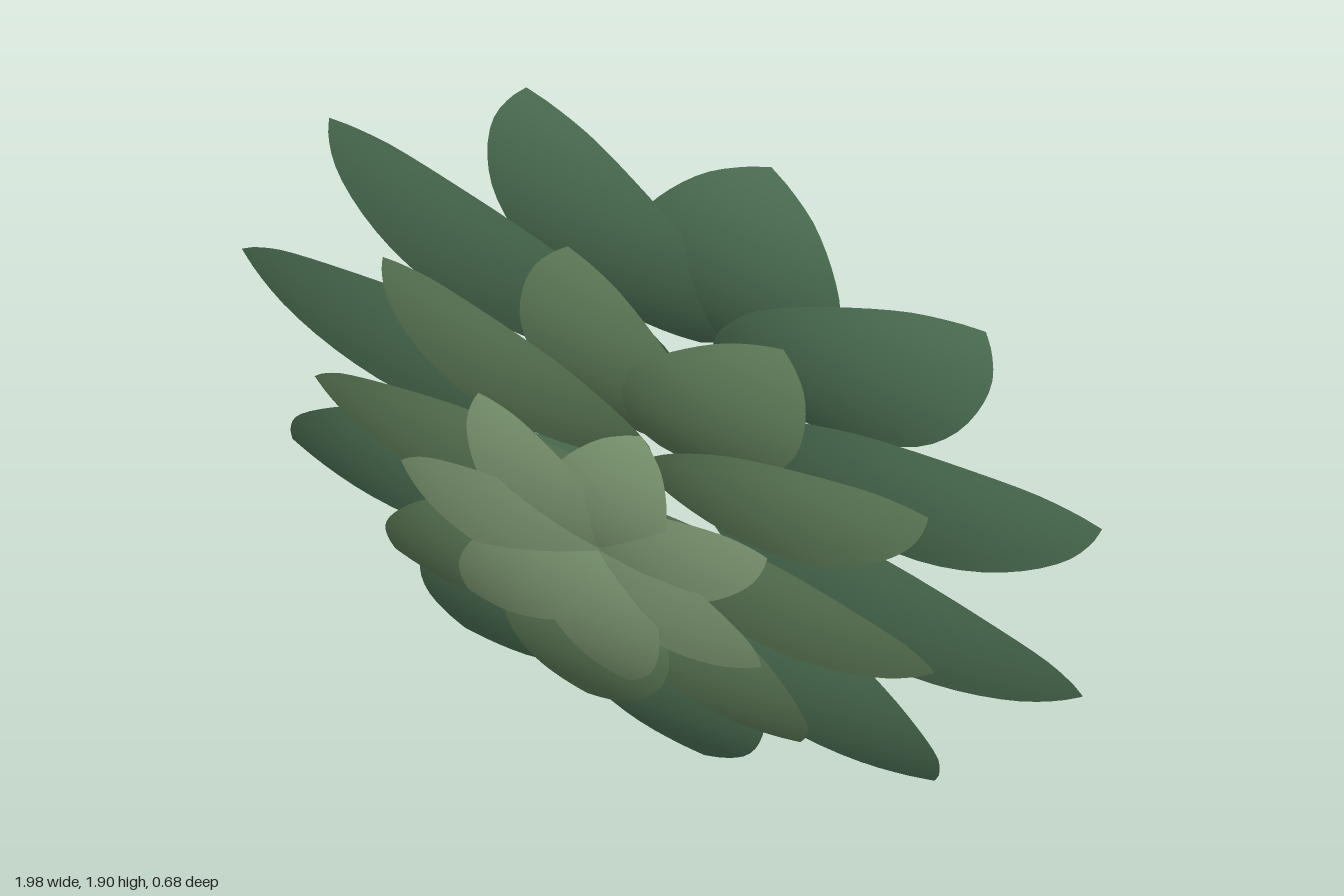
import * as THREE from 'three';

// Half outline of a petal of half-length 1: [half width, position along the petal], base to tip
const HALF = [[0, -1], [0.14, -0.93], [0.29, -0.75], [0.43, -0.48], [0.52, -0.12], [0.5, 0.2],
  [0.41, 0.5], [0.28, 0.75], [0.13, 0.91], [0, 1]];

// A thin petal arched along its length: both ends curl back from the middle
function petalGeometry(halfLength) {
  const curve = new THREE.SplineCurve(HALF.map(([x, y]) => new THREE.Vector2(x, y)));
  const side = curve.getPoints(24);
  const across = 6, pos = [], index = [];
  for (const p of side) {
    for (let j = 0; j <= across; j++) {
      const x = Math.max(p.x, 0) * (1 - (2 * j) / across);
      pos.push(x, p.y, 0.15 * (1 - p.y * p.y) - 0.1 * x * x);
    }
  }
  for (let i = 0; i < side.length - 1; i++) {
    for (let j = 0; j < across; j++) {
      const a = i * (across + 1) + j, b = a + across + 1;
      index.push(a, b, b + 1, a, b + 1, a + 1);
    }
  }
  const g = new THREE.BufferGeometry();
  g.setAttribute('position', new THREE.Float32BufferAttribute(pos, 3));
  g.setIndex(index);
  g.scale(halfLength, halfLength, halfLength);
  g.computeVertexNormals();
  return g;
}

// A ring of petals, each spun about its own middle and tilted by the same angle;
// lean moves the higher petals of the ring forwards
function petalRing({ name, count, start, radius, halfLength, z, tilt, lean, color }) {
  const ring = new THREE.Group();
  ring.name = name;
  const geometry = petalGeometry(halfLength);
  const material = new THREE.MeshStandardMaterial({ color, side: THREE.DoubleSide });
  for (let i = 0; i < count; i++) {
    const a = THREE.MathUtils.degToRad(start) + (i / count) * Math.PI * 2;
    const x = radius * Math.cos(a), y = radius * Math.sin(a);
    const petal = new THREE.Mesh(geometry, material);
    petal.name = name.replace('Ring', '') + (i + 1);
    petal.position.set(x, 0.967 + y, z + lean * y);
    petal.rotation.set(tilt, -0.03, a - Math.PI / 2);
    ring.add(petal);
  }
  return ring;
}

export function createModel() {
  const flower = new THREE.Group();
  flower.name = 'rosette';
  flower.add(
    petalRing({ name: 'outerPetalRing', count: 11, start: 7, radius: 0.545, halfLength: 0.458, z: -0.172, tilt: 0.395, lean: 0, color: 0x5f8a68 }),
    petalRing({ name: 'middlePetalRing', count: 9, start: 16.5, radius: 0.37, halfLength: 0.363, z: 0.033, tilt: 0.39, lean: 0, color: 0x73966c }),
    petalRing({ name: 'innerPetalRing', count: 7, start: 16.7, radius: 0.18, halfLength: 0.26, z: 0.225, tilt: 0.25, lean: 0.25, color: 0x8ba87e }),
  );
  return flower;
}
